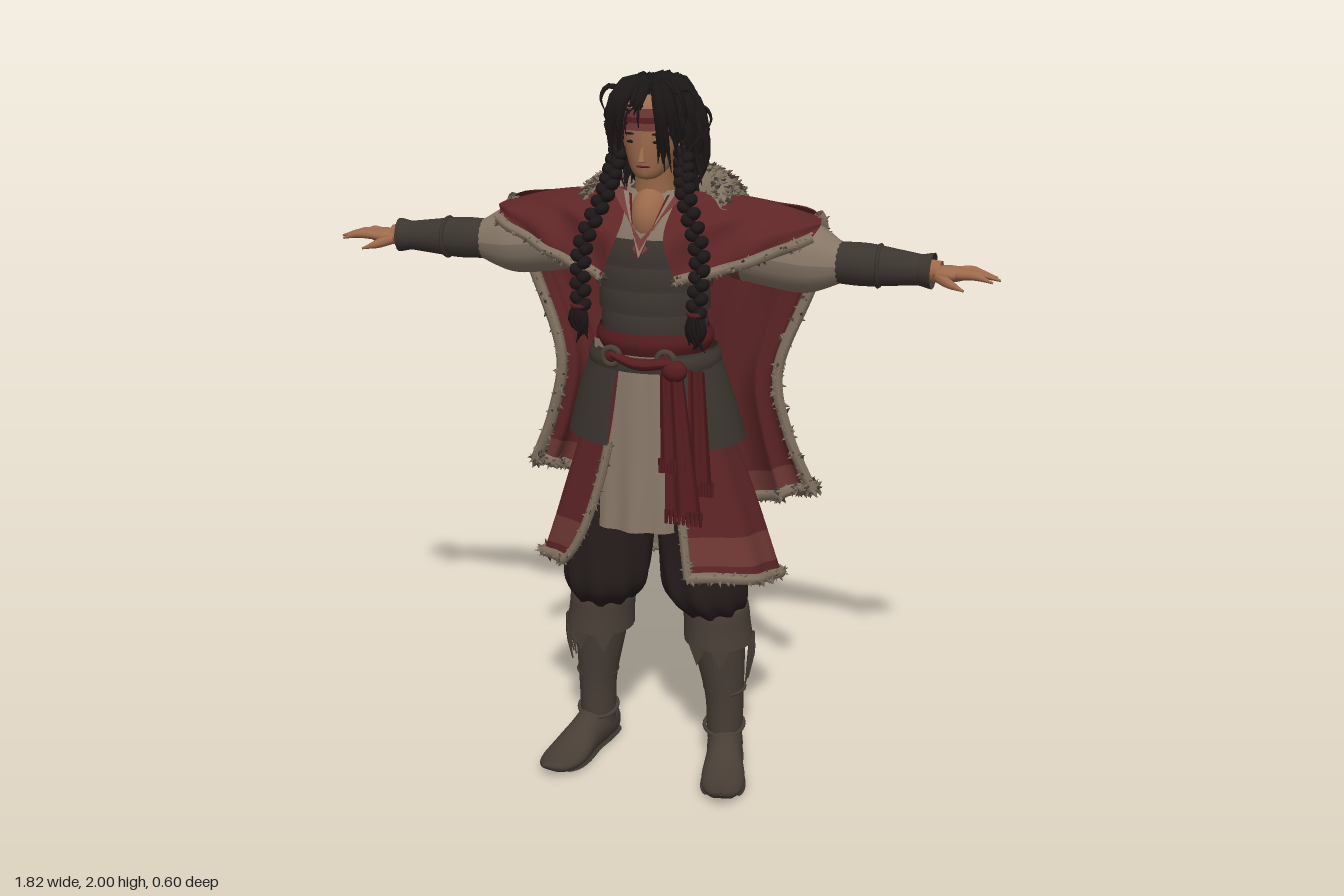
import * as THREE from 'three';
import { mergeGeometries } from 'three/addons/utils/BufferGeometryUtils.js';

const V = (x, y, z) => new THREE.Vector3(x, y, z);
const material = (name, color) => new THREE.MeshStandardMaterial({ name, color, side: THREE.DoubleSide });
const M = {
  red: material('cloak red', 0x5e2526), stripe: material('faded red', 0x703935), sash: material('sash red', 0x551c1f),
  fur: material('fur', 0x827362), linen: material('linen', 0x877767), skin: material('skin', 0x9c6a4b),
  hair: material('black hair', 0x1c1717), armour: material('dark leather', 0x3b352f),
  boot: material('boot leather', 0x483e36), pants: material('trouser cloth', 0x271e1d),
};
let seed = 7;
const rnd = (a = 0, b = 1) => { seed = (seed * 16807) % 2147483647; return a + (b - a) * seed / 2147483647; };
const { sin, cos, PI } = Math;

// smooth interpolation through rows of numbers, v from 0 to 1
function spl(rows, v) {
  const n = rows.length - 1, p = v * n, i = Math.max(0, Math.min(n - 1, Math.floor(p))), f = p - i;
  const g = k => rows[Math.max(0, Math.min(n, k))];
  return rows[i].map((b, k) => {
    const a = g(i - 1)[k], c = g(i + 1)[k], d = g(i + 2)[k];
    return b + 0.5 * f * (c - a + f * (2 * a - 5 * b + 4 * c - d + f * (3 * (b - c) + d - a)));
  });
}
// grid surface from fn(u, v) -> [x, y, z]
function surf(fn, nu, nv, u0 = 0, u1 = 1, v0 = 0, v1 = 1) {
  const pos = [], idx = [];
  for (let j = 0; j <= nv; j++) for (let i = 0; i <= nu; i++) {
    pos.push(...fn(u0 + (u1 - u0) * i / nu, v0 + (v1 - v0) * j / nv));
    if (i < nu && j < nv) { const a = j * (nu + 1) + i, b = a + nu + 1; idx.push(a, b, a + 1, b, b + 1, a + 1); }
  }
  const g = new THREE.BufferGeometry();
  g.setAttribute('position', new THREE.Float32BufferAttribute(pos, 3));
  g.setIndex(idx); g.computeVertexNormals();
  return g;
}
// elliptical ring body, rows of [y, rx, rz, cx, cz]
const ring = rows => (u, v) => {
  const [y, rx, rz, cx, cz] = spl(rows, v);
  return [cx + rx * sin(u), y, cz - rz * cos(u)];
};
const loft = (rows, nu = 28, nv = 14, u0 = -PI, u1 = PI) => surf(ring(rows), nu, nv, u0, u1);
// tube with varying radius
function limb(pts, radii, sides = 8, seg = 14) {
  const curve = new THREE.CatmullRomCurve3(pts.map(p => V(...p)));
  const g = new THREE.TubeGeometry(curve, seg, 1, sides), P = g.attributes.position, q = V();
  for (let i = 0; i < P.count; i++) {
    const t = Math.floor(i / (sides + 1)) / seg, c = curve.getPointAt(t);
    q.fromBufferAttribute(P, i).sub(c).multiplyScalar(spl(radii.map(r => [r]), t)[0]).add(c);
    P.setXYZ(i, q.x, q.y, q.z);
  }
  g.computeVertexNormals();
  return g;
}
const ball = (x, y, z, rx, ry, rz) => new THREE.SphereGeometry(1, 18, 12).scale(rx, ry, rz).translate(x, y, z);

export function createModel() {
  const root = new THREE.Group();
  const add = (name, geo, mat) => {
    const m = new THREE.Mesh(Array.isArray(geo) ? mergeGeometries(geo) : geo, mat);
    m.name = name; root.add(m); return m;
  };
  // fur tufts: list of [position, direction, size], a share of them in a darker tone
  function tufts(name, list, darkShare) {
    const light = [], dark = [];
    for (const [p, d, s] of list) {
      const g = new THREE.ConeGeometry(s * 0.5, s * 1.3, 4, 1, true).translate(0, s * 0.4, 0);
      g.applyQuaternion(new THREE.Quaternion().setFromUnitVectors(V(0, 1, 0), d.normalize())).translate(p.x, p.y, p.z);
      (rnd() < darkShare ? dark : light).push(g);
    }
    add(name + 'Light', light, M.fur);
    add(name + 'Dark', dark, M.boot);
  }
  function trim(name, fn, r, n) {
    const curve = new THREE.CatmullRomCurve3(Array.from({ length: 33 }, (_, i) => V(...fn(i / 32))));
    add(name, new THREE.TubeGeometry(curve, 64, r * 0.8, 6), M.fur);
    tufts(name + 'Tufts', Array.from({ length: n }, (_, i) => {
      const d = V(rnd(-1, 1), rnd(-1.2, 0.8), rnd(-1, 1)).normalize();
      return [curve.getPoint((i + 0.5) / n).addScaledVector(d, r * 0.6), d, r * rnd(0.5, 0.9)];
    }), 0.25);
  }

  // cloak back: rows of [half width, centre y, edge y, back z, edge z]
  const capeRows = [[.13, 1.68, 1.69, -.1, 0], [.3, 1.6, 1.67, -.17, 0], [.43, 1.47, 1.635, -.19, -.02], [.41, 1.3, 1.46, -.2, -.08],
    [.32, 1.1, 1.2, -.225, -.07], [.35, .9, 1.01, -.25, -.08], [.42, .7, .84, -.272, -.1]];
  const cape = (u, v) => {
    const [w, yc, ye, zb, ze] = spl(capeRows, v), a = u * PI / 2, s = sin(a);
    return [w * s + .008 * v * sin(u * 31), yc + (ye - yc) * s * s, ze + (zb - ze) * cos(a) + .014 * v * cos(u * 25) * (1 - u ** 8)];
  };
  add('cloakBack', surf(cape, 110, 34, -1, 1, 0, .92), M.red);
  add('cloakHemStripe', surf(cape, 110, 4, -1, 1, .92, 1), M.stripe);
  trim('cloakHemFur', t => cape(t * 2 - 1, 1), .022, 420);

  // long coat, open at the front with its right corner swept aside
  const coatRows = [[1.32, .14, .12, 0, .05], [1.1, .19, .145, 0, .04], [.85, .27, .19, 0, .01], [.61, .34, .235, 0, -.01]];
  const coat = (k = 1) => (u, v) => {
    const a = u < -1 ? u + .32 * v ** 4 * (-u - 1) / 1.7 : u;
    const [x, y, z] = ring(coatRows)(a, v), f = k * (1 + .03 * v * cos(u * 9));
    return [x * f, y - .06 * v * v * cos(a), z * f];
  };
  const A = 2.72;
  add('coat', surf(coat(), 80, 20, -A, A, 0, .8), M.red);
  add('coatHemStripe', surf(coat(), 80, 4, -A, A, .8, .92), M.stripe);
  add('coatHem', surf(coat(), 80, 2, -A, A, .92, 1), M.red);
  add('coatLining', surf(coat(.965), 60, 16, -A, A, .3, 1), M.linen);
  trim('coatHemFur', t => coat()(A * (t * 2 - 1), 1), .02, 360);

  // tunic panel, torso armour and hip plates
  add('tunicFront', surf((u, v) => [u * .125 - .025, 1.3 - .53 * v, .158 + .028 * v - .04 * u * u + .006 * v * cos(u * 9)], 20, 10, -1, 1), M.linen);
  add('shirt', loft([[1.26, .13, .11, 0, .05], [1.5, .15, .115, 0, .05], [1.62, .14, .1, 0, .04], [1.7, .07, .06, 0, .03]]), M.linen);
  for (let i = 0; i < 4; i++) {
    const y = 1.32 + i * .064, w = .138 + i * .007;
    add('breastLame', loft([[y, w + .006, .13, 0, .05], [y + .04, w + .006, .131, 0, .05], [y + .074, w + .001, .122, 0, .05]], 36, 4), M.armour);
  }
  const hip = [[1.28, .168, .14, 0, .045], [1.15, .215, .158, 0, .04], [1.02, .25, .175, 0, .03]];
  for (const s of [-1, 1]) for (const [a, b] of [[2.05, 2.77], [1.2, 2.08], [.1, 1.23]])
    add('hipPlate', loft(hip, 12, 6, s * a, s * b), M.armour);

  // sash, belt, bosses and hanging tails
  add('sash', loft([[1.275, .152, .137, 0, .045], [1.305, .162, .147, 0, .045], [1.335, .15, .135, 0, .05]], 36, 8), M.sash);
  add('belt', loft([[1.235, .182, .157, 0, .045], [1.255, .183, .159, 0, .045], [1.275, .172, .15, 0, .045]], 36, 4), M.armour);
  for (const x of [-.075, .075]) {
    add('beltBoss', new THREE.TorusGeometry(.023, .009, 8, 18).translate(x, 1.275, .197), M.boot);
    add('beltBossCentre', ball(x, 1.275, .196, .017, .017, .01), M.sash);
  }
  add('sashLoop', limb([[-.075, 1.28, .195], [0, 1.262, .21], [.09, 1.27, .2]], [.012, .016, .014]), M.sash);
  add('sashKnot', ball(.1, 1.25, .2, .035, .03, .025), M.sash);
  [[.1, .135, .86, .225, .05], [.155, .175, .94, .205, .035], [.08, .1, 1.0, .215, .035]].forEach(([x, x1, yEnd, z, w], k) => {
    add('sashTail', surf((u, v) => [x + (x1 - x) * v + u * (.025 + (w - .025) * v), 1.25 + (yEnd - 1.25) * v, z - .02 + .025 * v + .01 * cos(u * 5 + k)], 14, 8, -1, 1), M.sash);
    for (let i = -4; i <= 4; i++)
      add('sashFringe', limb([[x1 + i * w * .23, yEnd + .01, z + .004], [x1 + i * w * .24, yEnd - .03, z + .006]], [.007, .004], 4, 2), M.sash);
  });

  // neck, head and face
  add('neck', limb([[0, 1.58, .04], [0, 1.68, .045], [0, 1.79, .06]], [.075, .055, .05], 16), M.skin);
  add('chest', ball(0, 1.63, .08, .055, .08, .075), M.skin);
  add('head', surf(ring([[1.735, .004, .006, 0, .115], [1.742, .03, .032, 0, .11], [1.77, .054, .066, 0, .085], [1.83, .071, .087, 0, .07],
    [1.89, .074, .09, 0, .065], [1.94, .06, .075, 0, .06], [1.965, .005, .005, 0, .06]]), 28, 24, -PI, PI), M.skin);
  add('nose', new THREE.ConeGeometry(.014, .055, 8).scale(.8, 1, 1).rotateX(-.25).translate(0, 1.812, .155), M.skin);
  add('mouth', ball(0, 1.772, .149, .02, .003, .005), M.sash);
  add('headband', loft([[1.865, .08, .1, 0, .068], [1.92, .077, .098, 0, .065]], 20, 2, 1.6, 2 * PI - 1.6), M.stripe);
  add('headbandStripe', loft([[1.884, .081, .102, 0, .068], [1.898, .08, .101, 0, .067]], 20, 1, 1.6, 2 * PI - 1.6), M.sash);
  for (const s of [-1, 1]) {
    add('eye', ball(s * .031, 1.835, .147, .014, .004, .004), M.hair);
    add('eyebrow', ball(s * .032, 1.855, .147, .019, .003, .006), M.hair);
    add('ear', ball(s * .074, 1.83, .06, .01, .026, .016), M.skin);
    // crossed lapels
    const lapel = (a, b) => surf((u, v) => [s * ((.1 - u * .055) * (1 - v) - .015 * v + u * .02 * v), 1.71 - .15 * v - .02 * u, .085 + .15 * v - .05 * v * v + u * .012], 6, 10, a, b);
    add('lapelOuter', lapel(-.3, .5), M.stripe);
    add('lapelInner', lapel(.5, .8), M.linen);
    add('lapelBinding', lapel(.8, .95), M.sash);
  }

  // hair volume, loose locks and braids
  add('hairCap', ball(0, 1.88, .035, .1, .1, .113), M.hair);
  add('hairBack', ball(0, 1.78, -.025, .095, .13, .08), M.hair);
  const locks = [];
  for (let i = 0; i < 150; i++) {
    const a = rnd(-2.4, 2.4), k = Math.abs(a) / 2.4, r = rnd(.95, 1.12), front = k > .75;
    const x = sin(a) * .106 * r, z = -cos(a) * .118 * r + .035, end = front ? rnd(1.8, 1.92) : rnd(1.66, 1.8), out = rnd(.86, 1.1);
    locks.push(limb([[x * .15, 1.968, .05], [x * .62, 1.962 + rnd(-.015, .018), .04 + (z - .04) * .7], [x * 1.04, 1.89, z],
      [x * out + rnd(-.02, .02), (1.89 + end) / 2, z * out - .02 * (1 - k)], [x * out * .96 + rnd(-.025, .025), end, z * out + rnd(-.02, .015)]], [.008, .014, .015, .01, .001], 5, 10));
  }
  for (let i = 0; i < 30; i++) { // fringe over the brow
    const x = rnd(-.09, .09), e = x * 1.2 + rnd(-.02, .02), side = Math.abs(x) > .045;
    locks.push(limb([[x * .2, 1.97, .06], [x * .7, 1.968, .14], [x, 1.93, .185 - x * x * 4], [e, side ? rnd(1.76, 1.84) : rnd(1.9, 1.93), .175 - x * x * 7]], [.007, .014, .01, .001], 5, 8));
  }
  for (let i = 0; i < 24; i++) { // stray curls
    const a = rnd(0, 2 * PI), x = sin(a), z = cos(a), y = rnd(1.84, 1.96);
    locks.push(limb([[x * .08, y, .035 + z * .09], [x * .125, y + .01, .035 + z * .13], [x * .145, y - .02, .035 + z * .135], [x * .135, y - .05, .035 + z * .13]], [.007, .005, .004, .001], 4, 8));
  }
  add('hairLocks', locks, M.hair);
  for (const s of [-1, 1]) {
    const path = new THREE.CatmullRomCurve3([V(s * .088, 1.8, .08), V(s * .108, 1.7, .13), V(s * .158, 1.56, .175), V(s * .158, 1.41, .2)]);
    const beads = [];
    for (let i = 0; i < 26; i++) {
      const p = path.getPoint(i / 25), o = i % 2 ? 1 : -1;
      beads.push(new THREE.SphereGeometry(1, 10, 8).scale(.02, .017, .024).rotateZ(o * .6).translate(p.x + o * .01, p.y, p.z));
    }
    for (let i = 0; i < 7; i++) beads.push(limb([[s * .158, 1.42, .205], [s * .16 + rnd(-.02, .02), 1.37, .21], [s * .16 + rnd(-.03, .03), rnd(1.29, 1.35), .2]], [.012, .013, .001], 5, 6));
    add('braid', beads, M.hair);
    add('braidTie', new THREE.TorusGeometry(.021, .006, 6, 14).rotateX(PI / 2).translate(s * .158, 1.41, .202), M.sash);
  }

  // deep rounded fur collar, longest at the back
  const collar = (t, v) => {
    const w = (1 + cos(t)) / 2, [r, y] = spl([[.09, 1.67], [.165, 1.74], [.225, 1.69], [.235, 1.6], [.2, 1.68 - .22 * w ** .8]], v);
    return [r * sin(t), y - (1 - w) * .06, -.01 - r * cos(t) * (.78 + .12 * w)];
  };
  add('furCollar', surf(collar, 40, 16, -2.1, 2.1), M.fur);
  tufts('furCollarTufts', Array.from({ length: 1700 }, () => {
    const p = V(...collar(rnd(-2.1, 2.1), Math.sqrt(rnd(.02, 1))));
    return [p, V(p.x + rnd(-.1, .1), (p.y - 1.66) * 1.5 + rnd(-.12, .08), p.z + .02 + rnd(-.1, .1)), rnd(.01, .02)];
  }), .36);

  for (const s of [-1, 1]) {
    // cloak front over the shoulder
    const grid = [[[.075, 1.7, .05], [.06, 1.61, .165], [.1, 1.49, .195]], [[.28, 1.675, 0], [.26, 1.63, .11], [.25, 1.53, .15]], [[.43, 1.635, -.02], [.445, 1.63, .04], [.43, 1.6, .09]]];
    const shawl = (u, v) => {
      const [x, y, z] = spl(grid.map(row => spl(row, v)), u);
      return [s * x, y, z + .012 * sin(v * PI) * cos(u * 9 + v * 9) + .006 * v * cos(u * 22)];
    };
    add('cloakFront', surf(shawl, 36, 18), M.red);
    trim('cloakFrontFur', t => shawl(t, 1), .018, 130);
    trim('cloakSideFur', t => cape(s, .32 + .68 * t), .02, 200);
    trim('coatFrontFur', t => coat()(s * A, .45 + .55 * t), .016, 110);

    // sleeve, bracer and hand
    add('sleeve', limb([[s * .12, 1.56, .01], [s * .3, 1.545, .015], [s * .4, 1.535, .02], [s * .475, 1.53, .028], [s * .525, 1.53, .03]], [.07, .085, .094, .09, .045], 18, 24), M.linen);
    for (const x of [.22, .28]) add('sleeveStripe', limb([[s * x, 1.553, .013], [s * (x + .03), 1.55, .015]], [.088, .091], 18, 2), M.stripe);
    add('bracer', limb([[s * .48, 1.53, .03], [s * .56, 1.53, .035], [s * .65, 1.53, .045], [s * .73, 1.53, .055]], [.054, .056, .047, .038], 18), M.armour);
    add('bracerBand', new THREE.TorusGeometry(.053, .006, 6, 20).rotateY(PI / 2).translate(s * .6, 1.53, .04), M.armour);
    add('wristCuff', limb([[s * .705, 1.53, .053], [s * .74, 1.53, .056]], [.04, .047], 16, 3), M.armour);
    const hand = [limb([[s * .7, 1.53, .052], [s * .76, 1.53, .058]], [.032, .028], 12, 4), ball(s * .782, 1.528, .062, .05, .02, .038)];
    for (const [z0, x, z] of [[.035, .873, .012], [.053, .9, .042], [.071, .91, .07], [.087, .893, .1]])
      hand.push(limb([[s * .8, 1.53, z0], [s * (x + .8) / 2, 1.532, (z + z0) / 2], [s * x, 1.52, z]], [.012, .0105, .003], 8, 8));
    hand.push(limb([[s * .755, 1.522, .08], [s * .79, 1.51, .108], [s * .825, 1.5, .125]], [.015, .012, .003], 8, 8));
    add('hand', hand, M.skin);

    // baggy trousers
    const leg = ring([[1.02, .1, .1, s * .1, .04], [.85, .12, .12, s * .125, .04], [.68, .125, .122, s * .14, .04], [.56, .118, .115, s * .15, .04], [.49, .08, .085, s * .165, .015]]);
    add('trouserLeg', surf((u, v) => { const [x, y, z] = leg(u, v), k = .007 * cos(u * 9 + v * 5) * v; return [x + k * sin(u), y, z - k * cos(u)]; }, 48, 18, -PI, PI), M.pants);

    // boots with folded cuffs and curled toes
    add('bootShaft', loft([[.5, .085, .09, s * .172, .01], [.38, .076, .077, s * .18, .007], [.22, .057, .062, s * .195, -.003], [.12, .053, .06, s * .197, -.008], [.06, .05, .058, s * .197, -.01]]), M.boot);
    add('bootCuff', loft([[.515, .08, .085, s * .17, .01], [.505, .094, .098, s * .17, .01], [.45, .096, .1, s * .175, .01], [.4, .1, .104, s * .18, .01]]), M.boot);
    const flap = new THREE.Shape([[-.03, 0], [.03, 0], [0, -.06]].map(p => new THREE.Vector2(...p)));
    for (const a of [.3, -.4]) add('cuffPoint', new THREE.ShapeGeometry(flap).translate(0, .405, .102).rotateY(s * a).translate(s * .18, 0, .01), M.boot);
    for (let i = 0; i < 5; i++) add('cuffFringe', limb([[s * .278, .42, .03 - i * .01], [s * .275, .34, .03 - i * .012], [s * .265, .27 + .02 * (i % 3), .025 - i * .01]], [.004, .006, .002], 5, 5), M.boot);
    const footRows = [[-.078, .012, .01, .07], [-.065, .042, 0, .1], [0, .052, 0, .125], [.07, .052, 0, .105], [.15, .062, 0, .068], [.21, .058, .004, .055], [.26, .038, .018, .054], [.3, .004, .05, .062]];
    add('bootFoot', surf((u, v) => {
      const [z, w, lo, hi] = spl(footRows, v), q = Math.max(-.75, sin(u));
      return [w * cos(u), lo + (hi - lo) * (q + .75) / 1.75, z];
    }, 24, 28, -PI, PI).rotateY(s * .22).translate(s * .2, 0, -.005), M.boot);
    add('bootSole', surf((u, v) => { const [z, w, lo] = spl(footRows, v * .8); return [u * (w + .003), lo + .006, z]; }, 4, 20, -1, 1).rotateY(s * .22).translate(s * .2, 0, -.005), M.armour);
    for (const y of [.11, .235]) add('bootStrap', new THREE.TorusGeometry(.058, .006, 6, 20).rotateX(PI / 2 + (y < .2 ? .25 : 0)).translate(s * .196, y, -.004), M.boot);
  }
  return root;
}
